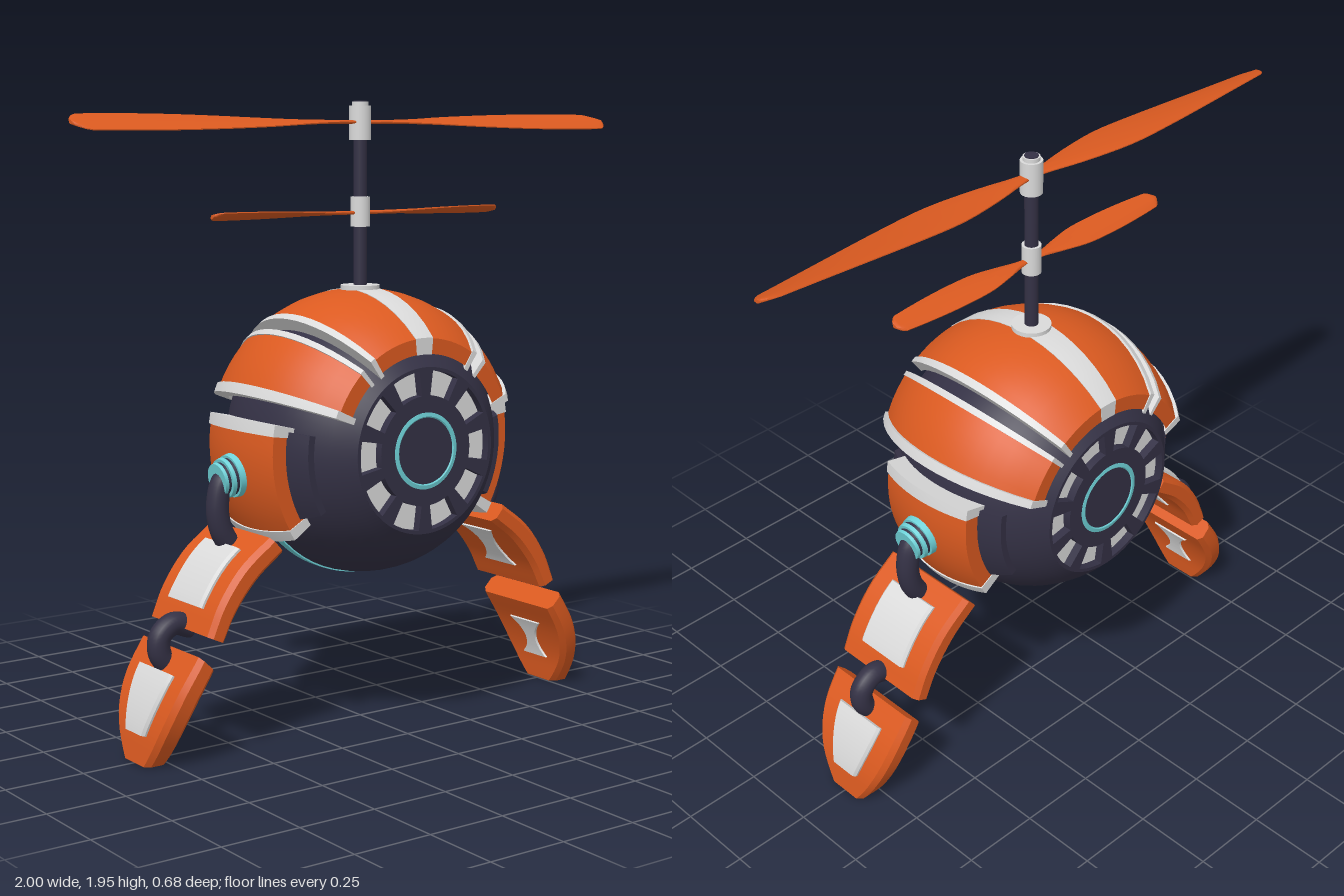
import * as THREE from 'three';
import { toCreasedNormals } from 'three/addons/utils/BufferGeometryUtils.js';

const mat = (name, color) => Object.assign(new THREE.MeshStandardMaterial({ color }), { name });
const CY = 0.9; // height of the body centre
const rad = THREE.MathUtils.degToRad;

// Skin a list of equal-length rings and close both ends
function loft(rings, crease = 0.6) {
  const m = rings[0].length, last = (rings.length - 1) * m, pts = rings.flat(), idx = [];
  const quad = (a, b, c, d) => idx.push(a, b, c, a, c, d);
  for (let i = 0; i < rings.length - 1; i++)
    for (let j = 0; j < m; j++) {
      const k = (j + 1) % m;
      quad(i * m + j, i * m + k, (i + 1) * m + k, (i + 1) * m + j);
    }
  for (let j = 0; j < m / 2 - 1; j++) {
    quad(j, m - 1 - j, m - 2 - j, j + 1);
    quad(last + j, last + j + 1, last + m - 2 - j, last + m - 1 - j);
  }
  // Signed volume decides which way the faces should turn
  let vol = 0;
  const n = new THREE.Vector3();
  for (let i = 0; i < idx.length; i += 3)
    vol += n.crossVectors(pts[idx[i + 1]], pts[idx[i + 2]]).dot(pts[idx[i]]);
  if (vol < 0) idx.reverse();
  const g = new THREE.BufferGeometry().setFromPoints(pts);
  g.setIndex(idx);
  return toCreasedNormals(g, crease);
}

// Piece of a spherical shell between two angles about the z axis, cut flat at +-zh
function shell(a0, a1, R, r, zh) {
  const prof = [], n = 14, steps = Math.max(2, Math.ceil((a1 - a0) / 4));
  for (let i = 0; i <= n; i++) {
    const z = zh * (2 * i / n - 1);
    prof.push([Math.sqrt(R * R - z * z), z]);
  }
  for (let i = n; i >= 0; i--) {
    const z = zh * (2 * i / n - 1);
    prof.push([Math.sqrt(r * r - z * z), z]);
  }
  const rings = [];
  for (let i = 0; i <= steps; i++) {
    const a = rad(a0 + (a1 - a0) * i / steps);
    rings.push(prof.map(([p, z]) => new THREE.Vector3(p * Math.cos(a), CY + p * Math.sin(a), z)));
  }
  return loft(rings);
}

const curve = (pts, s) => new THREE.CatmullRomCurve3(pts.map(([x, y]) => new THREE.Vector3(s * x, y, 0)));

// Curved slab between an outer and an inner line; k is depth (0 outer, 1 inner), width(u) its half width
function slab(outer, inner, s, t0, t1, k0, k1, width, c = 0.016) {
  const co = curve(outer, s), ci = curve(inner, s), rings = [], n = 14;
  for (let i = 0; i <= n; i++) {
    const u = i / n, t = t0 + (t1 - t0) * u, w = width(u), e = (k1 - k0) * 0.22;
    const o = co.getPoint(t), q = ci.getPoint(t);
    rings.push([[k0 + e, -w], [k0, c - w], [k0, w - c], [k0 + e, w], [k1 - e, w], [k1, w - c], [k1, c - w], [k1 - e, -w]]
      .map(([k, z]) => o.clone().lerp(q, k).setZ(z)));
  }
  return loft(rings, 0.5);
}

// Twisted propeller blade reaching out along s * x
function blade(s, length, chord, pitch) {
  const plan = new THREE.SplineCurve([0.2, 0.62, 0.97, 1, 0.92, 0.78, 0.62].map((w, i) => new THREE.Vector2(i / 6, w)));
  const rings = [];
  for (let i = 0; i <= 28; i++) {
    const t = 1 - (1 - i / 28) ** 1.6;
    const c = chord * plan.getPoint(t).y * Math.sqrt(Math.min(1, (1 - t) / 0.04 + 0.02));
    const p = pitch * t, ring = [];
    for (let j = 0; j < 12; j++) {
      const a = j / 12 * Math.PI * 2 + Math.PI / 12, q = c * Math.cos(a), h = 0.006 * Math.sin(a);
      ring.push(new THREE.Vector3(s * (0.02 + (length - 0.02) * t), h * Math.cos(p) - q * Math.sin(p), q * Math.cos(p) + h * Math.sin(p)));
    }
    rings.push(ring);
  }
  return loft(rings, 1.2);
}

export function createModel() {
  const orange = mat('orange paint', 0xdb5a20), dark = mat('dark metal', 0x343145);
  const white = mat('white trim', 0xdadada), cyan = mat('cyan glow', 0x6ed2d8);
  const root = new THREE.Group();
  root.name = 'flyingRobot';
  const add = (name, geo, m, parent = root) => {
    const mesh = new THREE.Mesh(geo, m);
    mesh.name = name;
    parent.add(mesh);
    return mesh;
  };

  // Round body, cut flat at front and back
  const prof = [];
  for (let i = 0; i <= 24; i++) {
    const z = 0.335 * (i / 12 - 1);
    prof.push(new THREE.Vector2(Math.sqrt(0.42 ** 2 - z * z), z));
  }
  add('body', new THREE.LatheGeometry(prof, 64).rotateX(Math.PI / 2).translate(0, CY, 0), dark);
  add('bellyStripe', shell(-143, -37, 0.424, 0.41, 0.02), cyan);

  // Eye with a ring of ten windows, on both ends
  const plate = new THREE.Shape().absarc(0, 0, 0.254, 0, Math.PI * 2);
  for (let i = 0; i < 10; i++) {
    const a = rad(i * 36), h = rad(12), hole = new THREE.Path();
    hole.absarc(0, 0, 0.243, a - h, a + h, false);
    hole.absarc(0, 0, 0.168, a + h * 1.05, a - h * 1.05, true);
    hole.closePath();
    plate.holes.push(hole);
  }
  const plateGeo = new THREE.ExtrudeGeometry(plate, { depth: 0.035, bevelEnabled: false, curveSegments: 48 });
  const eyeProf = [[0.118, 0.3], [0.117, 0.336], [0.105, 0.338], [0.09, 0.326], [0.05, 0.33], [0, 0.332]];
  const eyeGeo = toCreasedNormals(new THREE.LatheGeometry(eyeProf.map(p => new THREE.Vector2(...p)), 48), 0.5).rotateX(Math.PI / 2);
  for (const side of [0, 1]) {
    const face = new THREE.Group();
    face.name = side ? 'backFace' : 'frontFace';
    face.position.y = CY;
    face.rotation.y = side * Math.PI;
    root.add(face);
    add('windowRing', plateGeo, dark, face).position.z = 0.3;
    add('windowPanes', new THREE.CircleGeometry(0.25, 48), white, face).position.z = 0.308;
    add('eye', eyeGeo, cyan, face);
  }

  // Top armour with its centre stripe
  add('topStripe', shell(84.5, 95.5, 0.472, 0.437, 0.326), white);

  // Leg outlines, seen from the front
  const thighOut = [[0.45, 0.66], [0.555, 0.58], [0.63, 0.48], [0.67, 0.39]];
  const thighIn = [[0.405, 0.61], [0.495, 0.54], [0.57, 0.45], [0.615, 0.365]];
  const footOut = [[0.7, 0.335], [0.77, 0.225], [0.812, 0.115], [0.83, 0]];
  const footIn = [[0.65, 0.285], [0.705, 0.19], [0.74, 0.095], [0.755, 0]];
  const tube = (pts, s) => new THREE.TubeGeometry(curve(pts, s), 28, 0.035, 16);

  for (const s of [1, -1]) {
    const side = s > 0 ? 'left' : 'right';
    // Mirror an angle range onto the other side
    const seg = (a0, a1, ...r) => s > 0 ? shell(a0, a1, ...r) : shell(180 - a1, 180 - a0, ...r);
    add(side + 'TopPanel', seg(57.5, 84.5, 0.47, 0.437, 0.325), orange);
    add(side + 'TopTrim', seg(54.5, 57.5, 0.477, 0.432, 0.328), white);
    add(side + 'ShoulderUpperTrim', seg(46.5, 49, 0.474, 0.432, 0.326), white);
    add(side + 'ShoulderPanel', seg(25, 46.5, 0.47, 0.437, 0.325), orange);
    add(side + 'ShoulderLowerTrim', seg(21, 25, 0.48, 0.432, 0.328), white);
    add(side + 'HipFrame', seg(-29, 10.5, 0.437, 0.4, 0.24), dark);
    add(side + 'HipPanel', seg(-30, 8, 0.48, 0.4, 0.175), orange);
    add(side + 'HipUpperTrim', seg(8, 12.5, 0.485, 0.398, 0.178), white);
    add(side + 'HipLowerTrim', seg(-34.5, -30, 0.484, 0.398, 0.178), white);

    // Banded hip joint
    const joint = new THREE.Group();
    joint.name = side + 'HipJoint';
    joint.position.set(s * 0.46, 0.83, 0);
    joint.rotation.z = -s * (Math.PI / 2 + 0.16);
    root.add(joint);
    [[0.068, 0.02, cyan], [0.058, 0.012, dark], [0.062, 0.012, cyan], [0.05, 0.01, dark], [0.052, 0.01, cyan]].reduce((y, [r, h, m], i) => {
      add('jointBand' + i, new THREE.CylinderGeometry(r * 0.96, r, h, 32), m, joint).position.y = y + h / 2;
      return y + h;
    }, 0.008);

    // Leg
    add(side + 'HipTube', tube([[0.47, 0.83], [0.51, 0.815], [0.53, 0.745], [0.52, 0.67], [0.48, 0.6]], s), dark);
    add(side + 'Thigh', slab(thighOut, thighIn, s, 0, 1, 0, 1, () => 0.175), orange);
    add(side + 'ThighPlate', slab(thighOut, thighIn, s, 0.18, 0.75, -0.22, 0.3, () => 0.095, 0.008), white);
    add(side + 'ThighInnerPlate', slab(thighOut, thighIn, s, 0.25, 0.75, 0.8, 1.08, u => 0.04 + 0.04 * (2 * u - 1) ** 2, 0.004), white);
    add(side + 'KneeTube', tube([[0.63, 0.385], [0.69, 0.402], [0.735, 0.37], [0.738, 0.32], [0.695, 0.26]], s), dark);
    add(side + 'Foot', slab(footOut, footIn, s, 0, 1, 0, 1, u => 0.175 - 0.105 * u ** 2.5), orange);
    add(side + 'FootPlate', slab(footOut, footIn, s, 0.2, 0.74, -0.2, 0.3, u => 0.095 - 0.042 * u ** 1.5, 0.008), white);
    add(side + 'FootInnerPlate', slab(footOut, footIn, s, 0.25, 0.7, 0.8, 1.08, u => 0.035 + 0.04 * (2 * u - 1) ** 2 - 0.015 * u, 0.004), white);

    // Propeller blades, the lower pair pitched the other way
    add(side + 'UpperBlade', blade(s, 1, 0.09, 0.42), orange).position.y = 1.88;
    add(side + 'LowerBlade', blade(s, 0.54, 0.048, -0.42), orange).position.y = 1.603;
  }

  // Mast and hubs
  const post = (name, r, y0, y1, m) => add(name, new THREE.CylinderGeometry(r, r, y1 - y0, 24), m).position.y = (y0 + y1) / 2;
  post('mast', 0.021, 1.34, 1.945, dark);
  post('mastBase', 0.061, 1.355, 1.38, white);
  post('lowerHub', 0.03, 1.56, 1.652, white);
  post('upperHub', 0.034, 1.825, 1.93, white);
  post('upperHubCollar', 0.026, 1.93, 1.942, white);
  return root;
}
